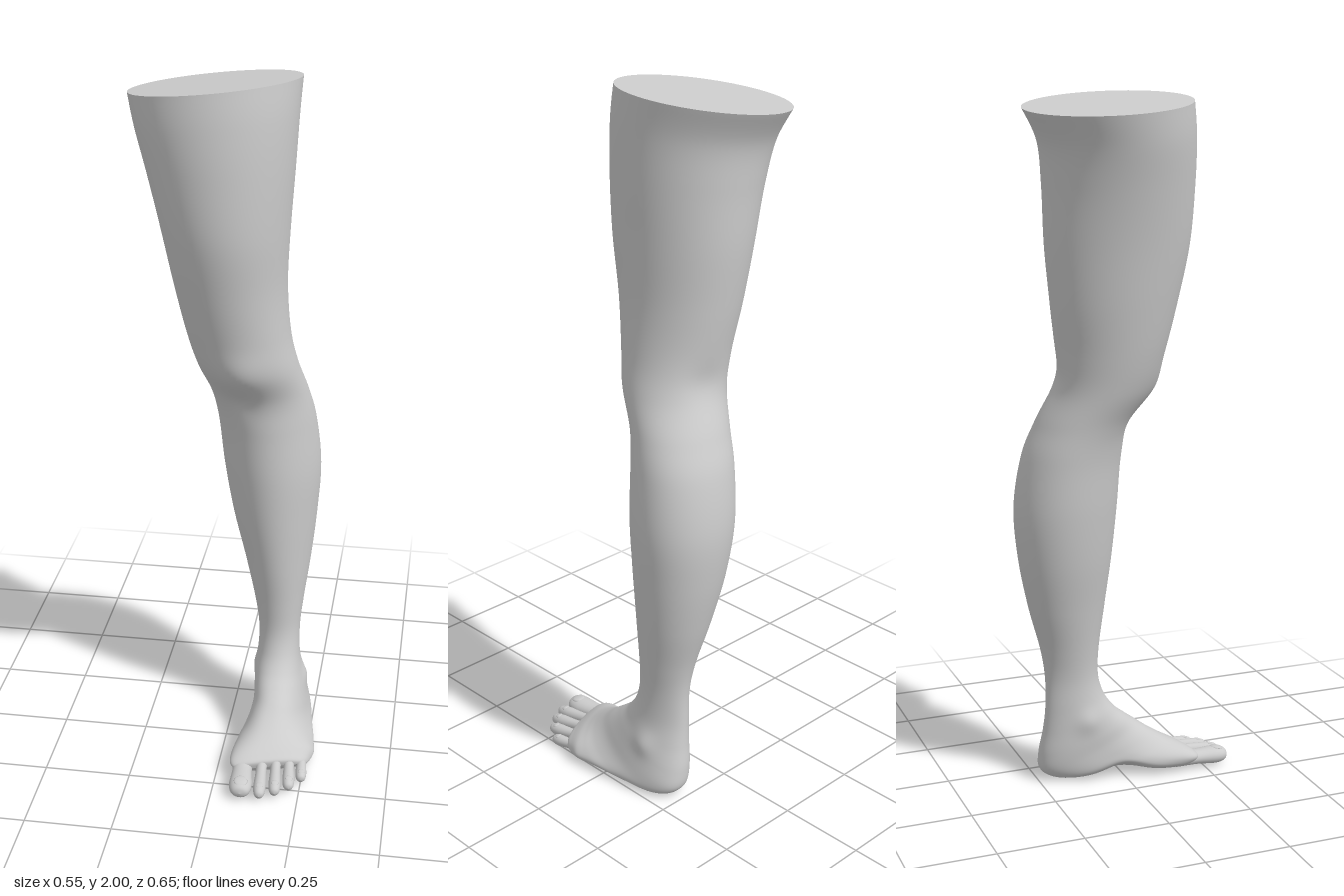
import * as THREE from 'three';

const SEG = 72, STEPS = 8;

// Leg sections: y, front z, back z, right x, left x, egg (positive = wider in front)
const LEG = [
  [1.97, 0.13, -0.325, -0.275, 0.187, 0],
  [1.88, 0.141, -0.282, -0.253, 0.182, 0],
  [1.76, 0.146, -0.268, -0.222, 0.175, 0],
  [1.6, 0.14, -0.26, -0.185, 0.164, 0],
  [1.44, 0.112, -0.242, -0.152, 0.158, 0],
  [1.3, 0.083, -0.223, -0.12, 0.168, 0],
  [1.2, 0.056, -0.226, -0.093, 0.188, -0.03],
  [1.1, -0.002, -0.265, -0.062, 0.214, -0.05],
  [1.0, -0.018, -0.3, -0.045, 0.235, -0.1],
  [0.85, -0.025, -0.32, -0.03, 0.25, -0.12],
  [0.7, -0.037, -0.308, -0.004, 0.243, -0.12],
  [0.55, -0.053, -0.278, 0.034, 0.229, -0.1],
  [0.42, -0.068, -0.243, 0.066, 0.213, 0],
  [0.33, -0.07, -0.229, 0.081, 0.204, 0.08],
];

// Foot sections swing forward: instep z, y, then heel/sole z, y, then right x, left x, egg
const FOOT = [
  [-0.052, 0.265, -0.229, 0.235, 0.081, 0.205, 0.12],
  [-0.02, 0.218, -0.235, 0.16, 0.078, 0.214, 0.1],
  [0.015, 0.188, -0.245, 0.09, 0.078, 0.226, 0.05],
  [0.05, 0.162, -0.24, 0.035, 0.08, 0.236, 0],
  [0.085, 0.138, -0.195, 0.008, 0.075, 0.243, -0.05],
  [0.12, 0.118, -0.11, 0.006, 0.064, 0.252, -0.1],
  [0.15, 0.102, -0.02, 0.01, 0.052, 0.264, -0.1],
  [0.178, 0.088, 0.08, 0.007, 0.042, 0.273, -0.05],
  [0.2, 0.074, 0.15, 0.006, 0.044, 0.268, 0],
  [0.215, 0.06, 0.192, 0.016, 0.06, 0.256, 0],
  [0.212, 0.04, 0.21, 0.038, 0.09, 0.23, 0],
];

// Soft anatomical swellings: centre, radius, push
const BUMPS = [
  [[0.04, 1.2, 0.06], 0.07, [0, 0, 0.012]],      // kneecap
  [[0.04, 1.1, 0], 0.04, [0, 0, -0.006]],        // dip under the kneecap
  [[0.06, 1.24, -0.22], 0.06, [0, 0, 0.01]],     // hollow behind the knee
  [[0.218, 0.16, -0.14], 0.035, [0.01, 0, 0]],   // outer ankle bone
  [[0.075, 0.2, -0.12], 0.035, [-0.008, 0, 0]],  // inner ankle bone
  [[0.07, 0.01, -0.01], 0.07, [0.008, 0.025, 0]], // arch
];

const rows = [
  ...LEG.map(([y, zf, zb, r, l, e]) => [zf, y, zb, y, r, l, e, 0, 2]),
  ...FOOT.map(([zf, yf, zb, yb, r, l, e], i) =>
    [zf, yf, zb, yb, r, l, e, -0.018 * Math.min(1, i / 4), 2 + 0.4 * Math.min(1, i / 4)]),
];

// Smooth blend through all the columns of the section rows
function sectionAt(t) {
  const i = Math.min(Math.floor(t), rows.length - 2), f = t - i;
  const row = (k) => rows[Math.max(0, Math.min(rows.length - 1, k))];
  return row(i).map((p1, c) => {
    const p2 = row(i + 1)[c], m1 = (p2 - row(i - 1)[c]) / 2, m2 = (row(i + 2)[c] - p1) / 2;
    const f2 = f * f, f3 = f2 * f;
    return (2 * f3 - 3 * f2 + 1) * p1 + (f3 - 2 * f2 + f) * m1 + (3 * f2 - 2 * f3) * p2 + (f3 - f2) * m2;
  });
}

function skinPoint(s, angle) {
  const [zf, yf, zb, yb, xr, xl, egg, skew, n] = s;
  const power = (v) => Math.sign(v) * Math.abs(v) ** (2 / n);
  const c = power(Math.cos(angle)), w = power(Math.sin(angle));
  const p = new THREE.Vector3(
    (xl + xr) / 2 + (xl - xr) / 2 * w * (1 + egg * c) + skew * c,
    (yf + yb) / 2 + (yf - yb) / 2 * c,
    (zf + zb) / 2 + (zf - zb) / 2 * c);
  // Slanted cut at the top of the thigh
  p.y += (0.11 * (p.x + 0.05) + 0.08 * (p.z + 0.1)) * THREE.MathUtils.smoothstep(p.y, 1.6, 1.95);
  // The line of the toe roots runs back towards the little toe
  if (p.y < 0.3) p.z -= 0.32 * (p.x - 0.1) * THREE.MathUtils.smoothstep(p.z, 0.04, 0.2);
  for (const [centre, radius, push] of BUMPS) {
    const d = p.distanceTo(new THREE.Vector3(...centre)) / radius;
    p.addScaledVector(new THREE.Vector3(...push), Math.exp(-d * d));
  }
  return p;
}

function makeGeometry(points, index) {
  const g = new THREE.BufferGeometry().setFromPoints(points);
  g.setIndex(index);
  g.computeVertexNormals();
  return g;
}

// Thigh, calf and foot as one continuous skin
function skinGeometry() {
  const points = [], index = [], count = (rows.length - 1) * STEPS;
  for (let i = 0; i <= count; i++) {
    const s = sectionAt(i / STEPS);
    for (let j = 0; j < SEG; j++) points.push(skinPoint(s, j / SEG * Math.PI * 2));
  }
  for (let i = 0; i < count; i++) {
    for (let j = 0; j < SEG; j++) {
      const k = (j + 1) % SEG, a = i * SEG + j, b = i * SEG + k;
      index.push(a, a + SEG, b, b, a + SEG, b + SEG);
    }
  }
  // Close the front of the foot between the toes
  const last = count * SEG, tip = points.length;
  points.push(new THREE.Vector3().addVectors(points[last], points[last + SEG / 2]).multiplyScalar(0.5));
  for (let j = 0; j < SEG; j++) index.push(last + j, tip, last + (j + 1) % SEG);
  return makeGeometry(points, index);
}

function capGeometry() {
  const ring = [], index = [], centre = new THREE.Vector3();
  for (let j = 0; j < SEG; j++) {
    ring.push(skinPoint(rows[0], j / SEG * Math.PI * 2));
    centre.addScaledVector(ring[j], 1 / SEG);
    index.push(SEG, j, (j + 1) % SEG);
  }
  return makeGeometry([...ring, centre], index);
}

// Unit toe along y: slim neck, rounded pad at the tip
function toeGeometry() {
  const profile = [[0.9, 0], [0.88, 0.2], [0.86, 0.42], [0.95, 0.62], [1, 0.76], [0.9, 0.89], [0.6, 0.97], [0, 1]];
  const curve = new THREE.SplineCurve(profile.map(([r, y]) => new THREE.Vector2(r, y)));
  const points = curve.getPoints(28);
  points.forEach((p) => { p.x = Math.max(0, p.x); });
  return new THREE.LatheGeometry(points, 28);
}

export function createModel() {
  const model = new THREE.Group();
  model.name = 'leg';
  const material = new THREE.MeshStandardMaterial({ color: 0xcccccc });
  const add = (name, geometry, parent = model) => {
    const mesh = new THREE.Mesh(geometry, material);
    mesh.name = name;
    parent.add(mesh);
    return mesh;
  };
  add('legAndFoot', skinGeometry());
  add('thighCut', capGeometry());

  // Toes: name, root, tip, half width, half height
  const toe = toeGeometry(), nail = new THREE.SphereGeometry(1, 16, 10);
  const up = new THREE.Vector3(0, 1, 0);
  const toes = [
    ['bigToe', [0.076, 0.042, 0.15], [0.087, 0.032, 0.325], 0.033, 0.026],
    ['secondToe', [0.132, 0.05, 0.155], [0.142, 0.026, 0.322], 0.018, 0.019],
    ['thirdToe', [0.171, 0.049, 0.145], [0.184, 0.025, 0.301], 0.0175, 0.019],
    ['fourthToe', [0.207, 0.045, 0.125], [0.221, 0.024, 0.269], 0.0175, 0.018],
    ['littleToe', [0.242, 0.038, 0.1], [0.252, 0.022, 0.221], 0.016, 0.017],
  ];
  for (const [name, root, tip, w, h] of toes) {
    const a = new THREE.Vector3(...root), b = new THREE.Vector3(...tip);
    const group = new THREE.Group();
    group.name = name;
    group.position.copy(a);
    group.quaternion.setFromUnitVectors(up, b.clone().sub(a).normalize());
    model.add(group);
    const length = a.distanceTo(b);
    add(name + 'Flesh', toe, group).scale.set(w, length, h);
    const plate = add(name + 'Nail', nail, group);
    plate.scale.set(w * 0.6, w * 0.6, h * 0.22);
    plate.position.set(0, length * 0.82, -h * 0.82);
    plate.rotation.x = 0.15;
  }
  return model;
}
